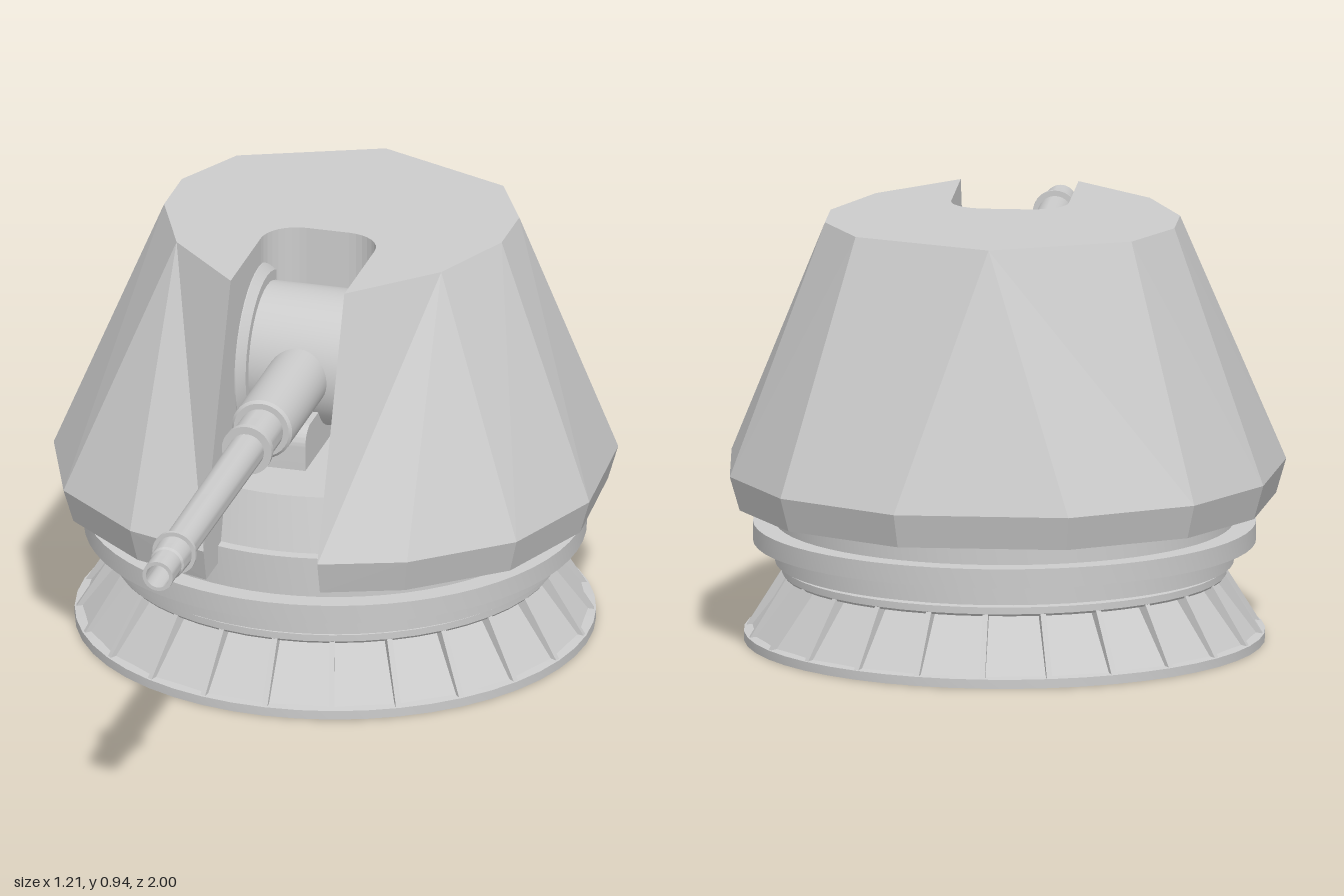
import * as THREE from 'three';
import { toCreasedNormals } from 'three/addons/utils/BufferGeometryUtils.js';

const CZ = -0.41; // vertical axis of the turret
const GUN_Y = 0.685;
const smooth = new THREE.MeshStandardMaterial({ color: 0xcccccc });
const faceted = new THREE.MeshStandardMaterial({ color: 0xcccccc, flatShading: true });

function add(parent, name, geometry, material = smooth) {
  const mesh = new THREE.Mesh(geometry, material);
  mesh.name = name;
  parent.add(mesh);
  return mesh;
}

// Turned part from [radius, height] pairs, bottom to top
function turned(profile, segments = 48) {
  const points = profile.map(([r, y]) => new THREE.Vector2(r, y));
  return toCreasedNormals(new THREE.LatheGeometry(points, segments), 0.5);
}

// Faceted gun shield with a round-ended slot open at the front
function shieldGeometry() {
  const pos = [];
  const tri = (a, b, c) => {
    pos.push(...a, ...b, ...c);
    const m = (p) => [-p[0], p[1], p[2]];
    pos.push(...m(a), ...m(c), ...m(b));
  };
  const face = (...p) => {
    for (let i = 1; i < p.length - 1; i++) tri(p[0], p[i], p[i + 1]);
  };
  const ring = (y, pts) => pts.map(([x, z]) => [x, y, z]);

  // Half outlines, back to front
  const hw = 0.128;
  const T = ring(0.935, [[0, -0.81], [0.3, -0.685], [0.38, -0.53], [0.38, -0.39], [0.298, -0.2], [hw, -0.03]]);
  const B = ring(0.385, [[0.19, -1], [0.45, -0.84], [0.58, -0.61], [0.603, -0.3], [0.51, -0.05], [0.312, 0.12], [hw, 0.185]]);
  const L = B.map(([x, , z], i) => [i === 6 ? hw : x * 0.964, 0.31, CZ + (z - CZ) * 0.964]);

  // Sloping sides
  for (let i = 0; i < 4; i++) face(T[i], T[i + 1], B[i + 1], B[i]);
  face(T[4], B[5], B[4]);
  face(T[4], T[5], B[6], B[5]);
  face(T[0], B[0], [0, 0.385, -1]);
  // Lower lip
  for (let i = 0; i < 6; i++) face(B[i], B[i + 1], L[i + 1], L[i]);
  const lipBack = [0, 0.31, L[0][2]];
  face([0, 0.385, -1], B[0], L[0], lipBack);

  // Slot walls
  const slot = [];
  for (let i = 0; i <= 8; i++) {
    const a = (i / 8) * Math.PI / 2;
    slot.push([hw - 0.08 + 0.08 * Math.cos(a), -0.27 - 0.08 * Math.sin(a)]);
  }
  slot.push([0, -0.35]);
  const S = ring(0.935, slot), D = ring(0.31, slot);
  face(T[5], S[0], D[0], L[6], B[6]);
  for (let i = 0; i < S.length - 1; i++) face(S[i], S[i + 1], D[i + 1], D[i]);

  // Roof and underside
  const cap = (outline, up) => {
    const flat = outline.map((p) => new THREE.Vector2(p[0], p[2]));
    for (const [i, j, k] of THREE.ShapeUtils.triangulateShape(flat, [])) {
      const [a, b, c] = [outline[i], outline[j], outline[k]];
      const ny = (b[2] - a[2]) * (c[0] - a[0]) - (b[0] - a[0]) * (c[2] - a[2]);
      if (ny * up > 0) tri(a, b, c);
      else tri(a, c, b);
    }
  };
  cap([...T, ...S], 1);
  cap([lipBack, ...L, ...D], -1);

  const g = new THREE.BufferGeometry();
  g.setAttribute('position', new THREE.Float32BufferAttribute(pos, 3));
  g.computeVertexNormals();
  return g;
}

// Ribbed skirt under the rotating body
function buildBase() {
  const base = new THREE.Group();
  base.name = 'base';
  base.position.z = CZ;
  add(base, 'footRing', turned([[0, 0], [0.565, 0], [0.565, 0.02], [0.53, 0.025]]));
  const panels = new THREE.CylinderGeometry(0.455, 0.55, 0.125, 24, 1, true);
  add(base, 'skirtPanels', panels.translate(0, 0.0825, 0), faceted);
  add(base, 'skirtRim', turned([[0.44, 0.143], [0.478, 0.143], [0.482, 0.148], [0.482, 0.163], [0.466, 0.165],
    [0.466, 0.175], [0.4, 0.175]]));

  // Ribs: slanted section extruded sideways
  const section = new THREE.Shape([[0.53, 0.015], [0.564, 0.015], [0.48, 0.15], [0.44, 0.15]]
    .map(([r, y]) => new THREE.Vector2(r, y)));
  const rib = new THREE.ExtrudeGeometry(section, { depth: 0.012, bevelEnabled: false }).translate(0, 0, -0.006);
  for (let i = 0; i < 24; i++) {
    add(base, 'skirtRib', rib, faceted).rotation.y = (i / 24) * Math.PI * 2 - Math.PI / 2;
  }

  add(base, 'turntable', turned([[0.3, 0.172], [0.497, 0.172], [0.497, 0.218], [0.545, 0.218], [0.545, 0.26],
    [0.497, 0.26], [0.497, 0.35], [0.475, 0.352], [0.44, 0.47], [0, 0.47]], 64));
  return base;
}

// Gun with its drum-shaped cradle
function buildGun() {
  const gun = new THREE.Group();
  gun.name = 'gun';
  gun.position.y = GUN_Y;

  const drum = new THREE.CylinderGeometry(0.15, 0.15, 0.22, 40).rotateZ(Math.PI / 2);
  add(gun, 'cradleDrum', toCreasedNormals(drum, 0.5)).position.z = -0.25;
  for (const side of [-1, 1]) {
    const disc = turned([[0, -0.02], [0.19, -0.02], [0.19, 0], [0.172, 0.018], [0, 0.018]], 40);
    const mesh = add(gun, 'trunnionDisc', disc);
    mesh.rotation.z = side * Math.PI / 2;
    mesh.position.set(side * 0.126, 0, -0.25);
  }

  // Bracket with rounded nose below the barrel
  const nose = new THREE.Shape();
  nose.moveTo(-0.25, -0.175);
  nose.lineTo(-0.02, -0.175);
  nose.lineTo(-0.02, -0.12);
  nose.absarc(-0.06, -0.12, 0.04, 0, Math.PI / 2, false);
  nose.lineTo(-0.25, -0.08);
  const bracket = new THREE.ExtrudeGeometry(nose, { depth: 0.086, bevelEnabled: false, curveSegments: 8 });
  bracket.translate(0, 0, -0.043).rotateY(-Math.PI / 2);
  add(gun, 'cradleBracket', toCreasedNormals(bracket, 0.5));

  const turn = (profile) => turned(profile, 32).rotateX(Math.PI / 2);
  add(gun, 'recoilSleeve', turn([[0, -0.2], [0.068, -0.2], [0.068, 0.172], [0.062, 0.178], [0.049, 0.178],
    [0.049, 0.278], [0.056, 0.278], [0.056, 0.294], [0.036, 0.294]]));
  add(gun, 'barrel', turn([[0.039, 0.28], [0.037, 0.86], [0.049, 0.86], [0.049, 0.87], [0.04, 0.87],
    [0.038, 0.925], [0.034, 0.93], [0.034, 1], [0.026, 1], [0.026, 0.9], [0, 0.9]]));
  return gun;
}

export function createModel() {
  const model = new THREE.Group();
  model.name = 'gunTurret';
  model.add(buildBase(), buildGun());
  add(model, 'shield', shieldGeometry(), faceted);
  return model;
}
